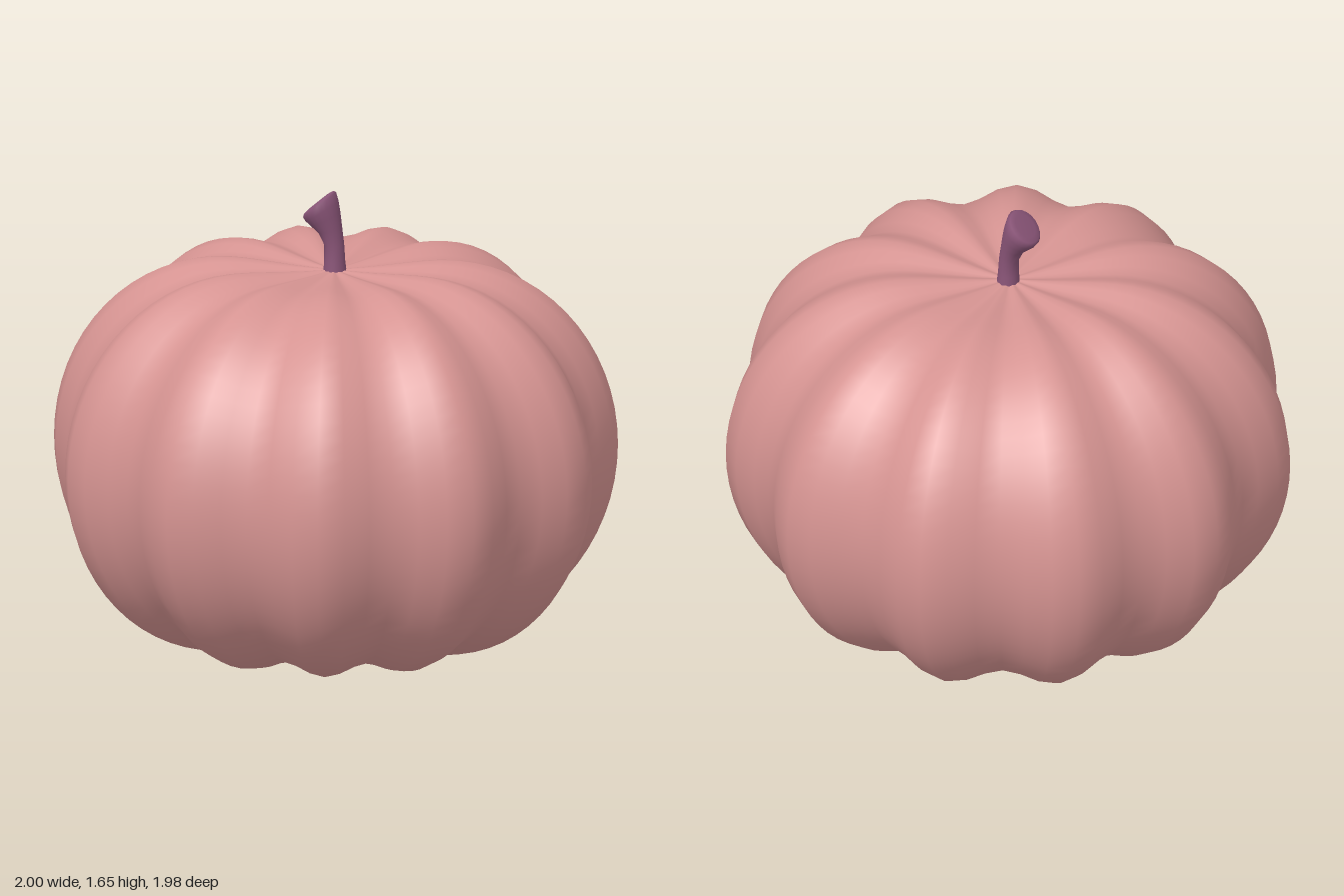
import * as THREE from 'three';

const LOBES = 11;

// Skin a stack of closed rings (bottom to top); first and last ring may shrink to a pole.
function loft(rings) {
  const n = rings[0].length;
  const index = [];
  for (let i = 0; i < rings.length - 1; i++) {
    for (let j = 0; j < n; j++) {
      const k = (j + 1) % n;
      const a = i * n + j, b = i * n + k, c = a + n, d = b + n;
      index.push(a, b, d, a, d, c);
    }
  }
  const geometry = new THREE.BufferGeometry();
  geometry.setAttribute('position', new THREE.Float32BufferAttribute(rings.flat(2), 3));
  geometry.setIndex(index);
  geometry.computeVertexNormals();
  return geometry;
}

// Crest profile of the fruit: dimpled bottom, round side, dimpled top.
function crestProfile() {
  const flat = 0.38, half = 0.695, bulge = 0.63, steps = 8, arc = 32;
  const points = [];
  const dimple = (r) => 0.022 * (1 - (r / flat) ** 2) ** 2;
  for (let i = 0; i < steps; i++) {
    const r = Math.max(0.001, (flat * i) / steps);
    points.push({ r, y: dimple(r), nr: 0, ny: -1 });
  }
  for (let i = 0; i <= arc; i++) {
    const t = -Math.PI / 2 + (Math.PI * i) / arc;
    points.push({ r: flat + bulge * Math.cos(t), y: half + half * Math.sin(t), nr: Math.cos(t), ny: Math.sin(t) });
  }
  for (let i = steps - 1; i >= 0; i--) {
    const r = Math.max(0.001, (flat * i) / steps);
    points.push({ r, y: 2 * half - dimple(r), nr: 0, ny: 1 });
  }
  return points;
}

// Ribbed body: grooves are pressed in along the profile normal, fading to the poles.
function bodyGeometry() {
  const sides = LOBES * 6;
  const rings = crestProfile().map(({ r, y, nr, ny }) => {
    const ring = [];
    for (let j = 0; j < sides; j++) {
      const a = (2 * Math.PI * j) / sides;
      const groove = 0.5 + 0.5 * Math.cos(LOBES * a); // deepest at the front centre
      const depth = 0.085 * r * groove;
      const radius = Math.max(0.0005, r - nr * depth);
      ring.push([radius * Math.sin(a), y - ny * depth, radius * Math.cos(a)]);
    }
    return ring;
  });
  return loft(rings);
}

// Stem sections: centre x, centre y, half width across, half width in z, tilt.
function stemGeometry() {
  const sections = [
    [0.003, 1.35, 0.042, 0.042, 0],
    [0.002, 1.4, 0.037, 0.039, 0],
    [0, 1.46, 0.035, 0.038, 0.08],
    [-0.015, 1.515, 0.043, 0.05, 0.35],
    [-0.032, 1.55, 0.057, 0.065, 0.48],
    [-0.046, 1.578, 0.068, 0.076, 0.58],
    [-0.055, 1.6, 0.073, 0.08, 0.7],
    [-0.059, 1.607, 0.066, 0.073, 0.72],
    [-0.061, 1.61, 0.045, 0.05, 0.72],
    [-0.061, 1.61, 0.0005, 0.0005, 0.72],
  ];
  const sides = 20;
  const rings = sections.map(([x, y, across, deep, tilt]) => {
    const ring = [];
    for (let j = 0; j < sides; j++) {
      const a = (2 * Math.PI * j) / sides;
      const u = across * Math.sin(a);
      ring.push([x + u * Math.cos(tilt), y + u * Math.sin(tilt), deep * Math.cos(a)]);
    }
    return ring;
  });
  return loft(rings);
}

export function createModel() {
  const skin = new THREE.MeshStandardMaterial({ color: 0xd69492 });
  skin.name = 'dusty pink skin';
  const bark = new THREE.MeshStandardMaterial({ color: 0x8a5578 });
  bark.name = 'plum stem';

  const pumpkin = new THREE.Group();
  pumpkin.name = 'pumpkin';

  const body = new THREE.Mesh(bodyGeometry(), skin);
  body.name = 'ribbedBody';
  body.position.z = 0.018;

  const stem = new THREE.Mesh(stemGeometry(), bark);
  stem.name = 'stem';
  stem.position.z = 0.013;

  pumpkin.add(body, stem);
  return pumpkin;
}
